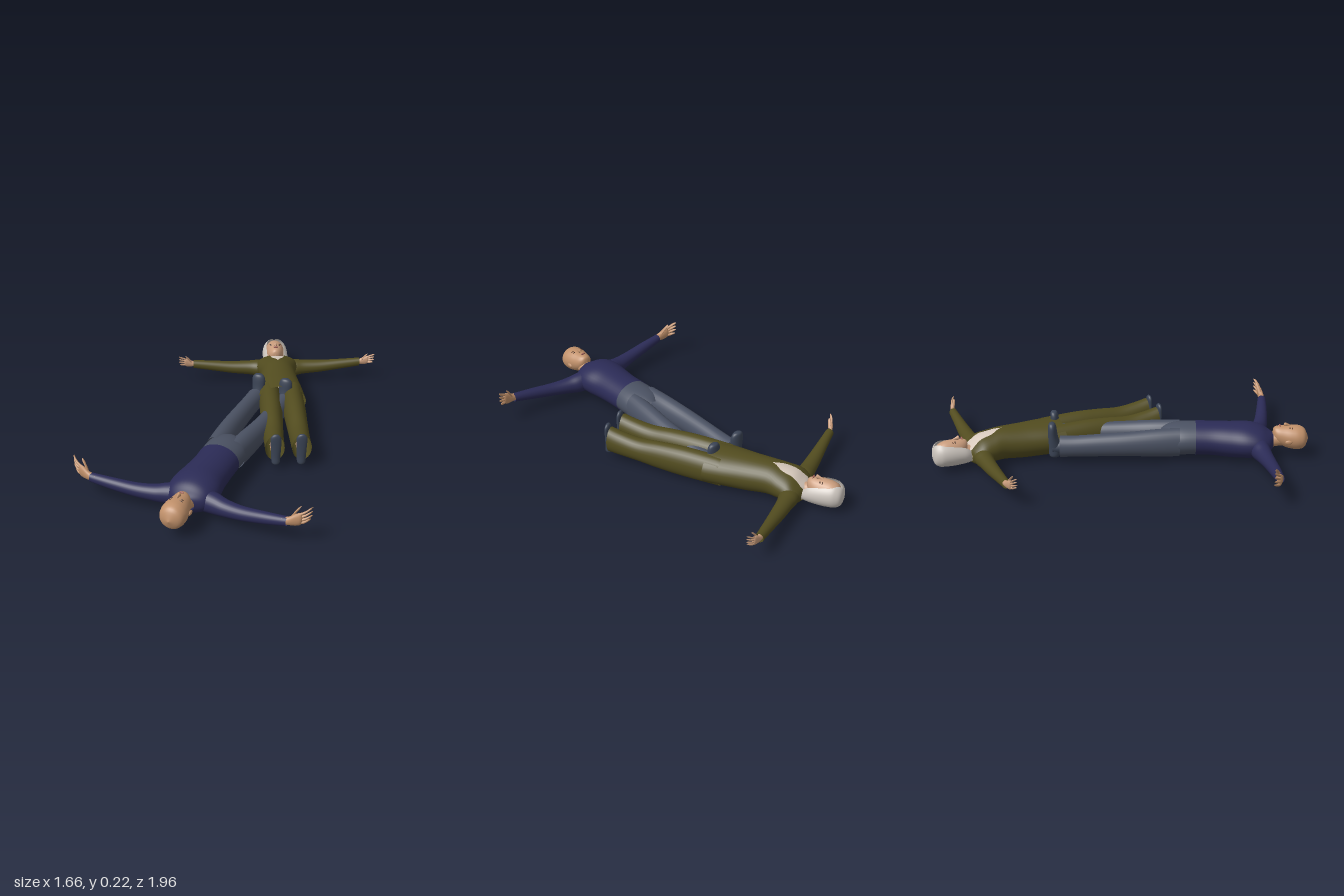
import * as THREE from 'three';
import { mergeVertices, mergeGeometries } from 'three/addons/utils/BufferGeometryUtils.js';

const mat = (name, color, side = THREE.DoubleSide) => {
  const m = new THREE.MeshStandardMaterial({ color, side });
  m.name = name;
  return m;
};

const catmull = (a, b, c, d, t) =>
  0.5 * (2 * b + (c - a) * t + (2 * a - 5 * b + 4 * c - d) * t * t + (3 * b - a - 3 * c + d) * t ** 3);

// Ring directions for lofts running along each axis
const RING = { x: [2, 1], y: [0, 2], z: [1, 0] };

// Smooth loft through elliptical sections [x, y, z, radiusA, radiusB, frontGap]; s = -1 mirrors in x
function loft(sections, axis = 'y', s = 1, sides = 28, steps = 5) {
  const [a, b] = RING[axis], pos = [], index = [], last = sections.length - 1;
  const at = i => sections[Math.min(last, Math.max(0, i))];
  const rows = last * steps;
  for (let r = 0; r <= rows; r++) {
    const i = Math.min(last - 1, Math.floor(r / steps)), t = r / steps - i;
    const v = [0, 1, 2, 3, 4, 5].map(k =>
      catmull(at(i - 1)[k] || 0, at(i)[k] || 0, at(i + 1)[k] || 0, at(i + 2)[k] || 0, t));
    const gap = Math.max(0, v[5]);
    for (let j = 0; j <= sides; j++) {
      const ang = Math.PI / 2 + gap + (2 * Math.PI - 2 * gap) * j / sides;
      const p = [v[0], v[1], v[2]];
      p[a] += Math.max(0.001, v[3]) * Math.cos(ang);
      p[b] += Math.max(0.001, v[4]) * Math.sin(ang);
      pos.push(p[0] * s, p[1], p[2]);
    }
  }
  const w = sides + 1;
  for (let r = 0; r < rows; r++) for (let j = 0; j < sides; j++) {
    const p = r * w + j, q = p + w;
    if (s > 0) index.push(p, q, p + 1, q, q + 1, p + 1);
    else index.push(p, p + 1, q, q, p + 1, q + 1);
  }
  const g = new THREE.BufferGeometry();
  g.setAttribute('position', new THREE.Float32BufferAttribute(pos, 3));
  g.setIndex(index);
  const out = mergeVertices(g, 1e-5);
  out.computeVertexNormals();
  return out;
}

const blob = (x, y, z, rx, ry, rz) =>
  new THREE.SphereGeometry(1, 14, 10).scale(rx, ry, rz).translate(x, y, z);

// Palm, four curling fingers and a raised thumb, starting at the wrist
function hand([x, y, z], k, s) {
  const P = (dx, dy, dz, ra, rb) => [x + dx * k, y + dy * k, z + dz * k, ra * k, rb * k];
  const parts = [loft([P(-0.02, 0, 0, 0.015, 0.015), P(0.005, 0, 0.002, 0.017, 0.013), P(0.03, -0.004, 0.01, 0.025, 0.011),
    P(0.05, -0.008, 0.016, 0.023, 0.009), P(0.055, -0.009, 0.018, 0.001, 0.001)], 'x', s, 14, 3)];
  for (let i = 0; i < 4; i++) {
    const f = i - 1.5, len = i === 0 ? 0.85 : 1;
    parts.push(loft([P(0.043, -0.007, 0.016 + f * 0.011, 0.006, 0.006),
      P(0.043 + 0.02 * len, -0.013, 0.022 + f * 0.014, 0.0055, 0.006),
      P(0.043 + 0.037 * len, -0.024, 0.032 + f * 0.016, 0.0045, 0.005),
      P(0.043 + 0.043 * len, -0.031, 0.036 + f * 0.017, 0.001, 0.001)], 'x', s, 8, 3));
  }
  parts.push(loft([P(0.012, -0.004, 0.012, 0.008, 0.008), P(0.028, -0.013, 0.038, 0.007, 0.007),
    P(0.04, -0.019, 0.053, 0.005, 0.006), P(0.046, -0.021, 0.061, 0.001, 0.001)], 'x', s, 8, 3));
  return mergeGeometries(parts);
}

export function createModel() {
  const M = {
    olive: mat('olive cloth', 0x524c1f), cream: mat('cream shirt', 0xd8cabd),
    hair: mat('silver hair', 0xcbc4bd), paleSkin: mat('pale skin', 0xc99c7c),
    tanSkin: mat('tan skin', 0xc0906a), navy: mat('navy knit', 0x2b2b56),
    grey: mat('grey blue trousers', 0x4a5162), shoe: mat('shoe', 0x3a4354),
    dark: mat('dark brown', 0x4a3227), lip: mat('lip', 0xa4645a),
  };
  const model = new THREE.Group();

  // Figures are made standing, then laid on their backs with a heading
  const figure = (name, x, z, heading) => {
    const g = new THREE.Group();
    g.name = name;
    g.rotation.set(-Math.PI / 2, heading, 0, 'YXZ');
    g.position.set(x, 0, z);
    model.add(g);
    return (part, geometry, material) => {
      const m = new THREE.Mesh(geometry, material);
      m.name = part;
      g.add(m);
    };
  };

  // Eyes, brows, nose and lips; e = eye [x, y, z], front = nose depth
  const face = (add, e, front, lipY, skin) => {
    for (const s of [1, -1]) {
      add('eye', blob(s * e[0], e[1], e[2], 0.009, 0.0035, 0.004), M.dark);
      add('brow', blob(s * e[0], e[1] + 0.013, e[2], 0.012, 0.0022, 0.004), M.dark);
    }
    add('nose', loft([[0, e[1] - 0.03, front - 0.012, 0.004, 0.004], [0, e[1] - 0.024, front - 0.011, 0.01, 0.012],
      [0, e[1] - 0.01, front - 0.015, 0.006, 0.01], [0, e[1] + 0.008, front - 0.022, 0.004, 0.008]], 'y', 1, 12, 3), skin);
    add('lips', blob(0, lipY, front - 0.017, 0.014, 0.0045, 0.006), M.lip);
  };

  // ---- Woman ----
  let add = figure('woman', 0.265, 0.29, 0);
  const jacket = [[0, 0.58, 0.098, 0.137, 0.092], [0, 0.69, 0.1, 0.125, 0.092], [0, 0.8, 0.101, 0.11, 0.091],
    [0, 0.905, 0.106, 0.1, 0.086, 0], [0, 0.97, 0.101, 0.11, 0.081, 0.3], [0, 1.03, 0.093, 0.122, 0.073, 0.33],
    [0, 1.07, 0.082, 0.115, 0.055, 0.41], [0, 1.092, 0.078, 0.07, 0.042, 0.7]];
  add('jacket', loft(jacket, 'y', 1, 40), M.olive);
  add('shirt', loft(jacket.slice(2).map(([x, y, z, a, b]) => [x, y, z, a - 0.006, b - 0.006])), M.cream);
  add('neck', loft([[0, 1.05, 0.08, 0.045, 0.04], [0, 1.09, 0.087, 0.034, 0.035], [0, 1.15, 0.1, 0.033, 0.035]]), M.paleSkin);
  add('head', loft([[0, 1.097, 0.13, 0.001, 0.001], [0, 1.102, 0.127, 0.02, 0.027], [0, 1.12, 0.118, 0.036, 0.046],
    [0, 1.15, 0.11, 0.048, 0.058], [0, 1.19, 0.105, 0.053, 0.064], [0, 1.23, 0.1, 0.053, 0.064],
    [0, 1.26, 0.095, 0.042, 0.05], [0, 1.278, 0.09, 0.001, 0.001]]), M.paleSkin);
  face(add, [0.021, 1.168, 0.161], 0.187, 1.126, M.paleSkin);
  add('hair', loft([[0, 1.085, 0.08, 0.056, 0.046, 0.95], [0, 1.12, 0.09, 0.07, 0.06, 0.8], [0, 1.18, 0.097, 0.074, 0.07, 0.75],
    [0, 1.23, 0.1, 0.07, 0.071, 0.65], [0, 1.258, 0.099, 0.06, 0.066, 0.35], [0, 1.28, 0.097, 0.04, 0.045, 0],
    [0, 1.29, 0.095, 0.001, 0.001, 0]]), M.hair);

  for (const s of [1, -1]) {
    add('sleeve', loft([[0.06, 1.035, 0.08, 0.045, 0.05], [0.11, 1.038, 0.08, 0.047, 0.05], [0.16, 1.04, 0.082, 0.041, 0.042],
      [0.26, 1.04, 0.086, 0.035, 0.036], [0.38, 1.04, 0.098, 0.029, 0.028], [0.49, 1.04, 0.11, 0.024, 0.022]], 'x', s), M.olive);
    add('hand', hand([0.49, 1.04, 0.11], 0.98, s), M.paleSkin);
    add('trouserLeg', loft([[0.07, 0.03, 0.12, 0.051, 0.071], [0.069, 0.1, 0.11, 0.052, 0.066], [0.068, 0.2, 0.102, 0.054, 0.063],
      [0.066, 0.32, 0.1, 0.057, 0.075], [0.064, 0.46, 0.1, 0.061, 0.082], [0.062, 0.66, 0.098, 0.06, 0.08]], 'y', s), M.olive);
    add('foot', loft([[0.068, 0.012, 0.12, 0.021, 0.045], [0.068, 0.035, 0.1, 0.022, 0.036],
      [0.068, 0.12, 0.09, 0.024, 0.026]], 'y', s, 16), M.paleSkin);
    add('shoe', loft([[0.066, 0.014, 0.035, 0.001, 0.001], [0.066, 0.016, 0.042, 0.02, 0.02], [0.066, 0.016, 0.08, 0.018, 0.024],
      [0.066, 0.012, 0.14, 0.013, 0.027], [0.067, 0.013, 0.185, 0.013, 0.028], [0.067, 0.013, 0.205, 0.009, 0.016],
      [0.067, 0.013, 0.21, 0.001, 0.001]], 'z', s, 18), M.shoe);
  }

  // ---- Man ----
  add = figure('man', 0.215, -0.34, THREE.MathUtils.degToRad(156));
  add('sweater', loft([[0, 0.765, 0.114, 0.111, 0.089], [0, 0.85, 0.112, 0.11, 0.089], [0.005, 0.95, 0.108, 0.117, 0.093],
    [0.005, 1.04, 0.107, 0.13, 0.093], [0.005, 1.11, 0.103, 0.125, 0.083], [0.003, 1.155, 0.1, 0.098, 0.06],
    [0.002, 1.182, 0.102, 0.05, 0.042]], 'y', 1, 40), M.navy);
  add('hips', loft([[0, 0.58, 0.105, 0.04, 0.06], [0, 0.62, 0.108, 0.1, 0.078], [0, 0.69, 0.112, 0.112, 0.086],
    [0, 0.79, 0.114, 0.106, 0.085]], 'y', 1, 36), M.grey);
  add('neck', loft([[0, 1.13, 0.098, 0.045, 0.045], [0, 1.18, 0.106, 0.041, 0.04], [0, 1.25, 0.118, 0.042, 0.042]]), M.tanSkin);
  add('head', loft([[0, 1.18, 0.148, 0.001, 0.001], [0, 1.186, 0.146, 0.025, 0.028], [0, 1.205, 0.137, 0.043, 0.046],
    [0, 1.24, 0.128, 0.055, 0.058], [0, 1.28, 0.123, 0.065, 0.065], [0, 1.32, 0.12, 0.066, 0.065],
    [0, 1.352, 0.117, 0.051, 0.05], [0, 1.373, 0.115, 0.001, 0.001]]), M.tanSkin);
  face(add, [0.024, 1.268, 0.181], 0.204, 1.217, M.tanSkin);

  for (const s of [1, -1]) {
    add('ear', blob(s * 0.064, 1.262, 0.115, 0.007, 0.019, 0.012), M.tanSkin);
    add('sleeve', loft([[0.06, 1.1, 0.095, 0.06, 0.055], [0.13, 1.11, 0.09, 0.053, 0.052], [0.19, 1.125, 0.088, 0.043, 0.044],
      [0.28, 1.143, 0.093, 0.036, 0.036], [0.4, 1.158, 0.108, 0.031, 0.03], [0.515, 1.168, 0.124, 0.024, 0.023]], 'x', s), M.navy);
    add('hand', hand([0.515, 1.168, 0.126], 1.3, s), M.tanSkin);
    add('trouserLeg', loft([[0.083, 0.04, 0.093, 0.05, 0.06], [0.083, 0.12, 0.095, 0.049, 0.058], [0.08, 0.25, 0.1, 0.05, 0.062],
      [0.075, 0.4, 0.105, 0.053, 0.067], [0.063, 0.56, 0.108, 0.057, 0.077], [0.055, 0.68, 0.11, 0.055, 0.08]], 'y', s), M.grey);
    add('ankle', loft([[0.08, 0, 0.085, 0.03, 0.035], [0.08, 0.12, 0.09, 0.032, 0.035]], 'y', s, 16), M.shoe);
    add('shoe', loft([[0.078, 0.01, 0.03, 0.001, 0.001], [0.078, 0.01, 0.038, 0.028, 0.026], [0.078, 0.012, 0.085, 0.034, 0.031],
      [0.079, 0.003, 0.15, 0.026, 0.036], [0.08, 0, 0.2, 0.022, 0.037], [0.08, -0.002, 0.224, 0.016, 0.024],
      [0.08, -0.002, 0.23, 0.001, 0.001]], 'z', s, 20), M.shoe);
  }
  return model;
}
